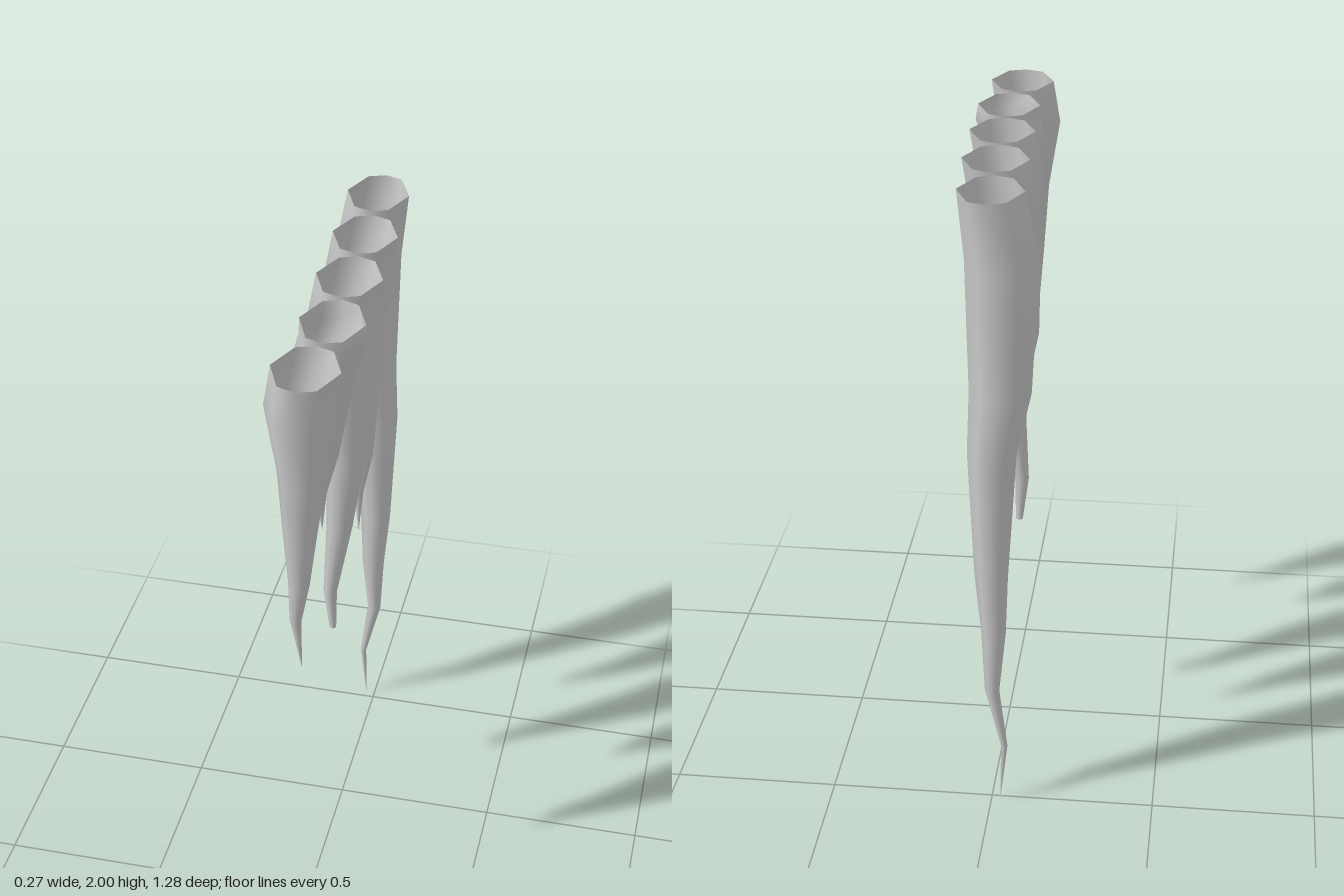
import * as THREE from 'three';

// Eight-sided cross-section (unit half-width in x and z), narrower across x
const SECTION = [[1, 0], [0.55, 0.84], [0, 1], [-0.55, 0.84], [-1, 0], [-0.55, -0.84], [0, -1], [0.55, -0.84]];
const TOP = 2, HALF_X = 0.1, HALF_Z = 0.121;

// Each icicle: z position, height of the tip, blunt tip half-width, and rings [y, centre x, optional x half-width]
const ICICLES = [
  { z: 0.518, tip: 0.965, blunt: 0, rings: [[2, 0.017, 0.098], [1.87, -0.003, 0.1], [1.66, 0.002], [1.44, -0.006], [1.28, -0.01], [1.14, -0.022], [0.965, -0.005]] },
  { z: 0.26, tip: 1.285, blunt: 0, rings: [[2, 0.031, 0.095], [1.95, 0.034, 0.1], [1.86, 0.005, 0.095], [1.71, 0.012], [1.56, 0.008], [1.42, -0.008], [1.285, -0.002]] },
  { z: 0.006, tip: 0.715, blunt: 0.011, rings: [[2, 0.022, 0.098], [1.86, -0.003, 0.1], [1.6, 0.008], [1.38, 0.012], [1.12, -0.008], [0.86, -0.038], [0.715, -0.03]] },
  { z: -0.25, tip: 0.915, blunt: 0, rings: [[2, 0.012, 0.098], [1.87, -0.01, 0.1], [1.65, -0.002], [1.45, 0.008], [1.22, 0.012], [1.08, -0.003], [0.915, -0.003]] },
  { z: -0.516, tip: 0, blunt: 0, rings: [[2, -0.005, 0.095], [1.8, -0.035, 0.105], [1.4, -0.03, 0.09], [1.2, -0.005, 0.072], [0.8, -0.002, 0.05], [0.6, -0.008, 0.037], [0.4, -0.003, 0.022], [0.2, -0.04, 0.01], [0, -0.027]] },
];

// Open-topped tapering skin lofted through the wandering rings
function icicleGeometry({ z, tip, blunt, rings }) {
  const positions = [], indices = [], n = SECTION.length;
  rings.forEach(([y, cx, halfX]) => {
    const t = (y - tip) / (TOP - tip);
    const rx = halfX ?? THREE.MathUtils.lerp(blunt, HALF_X * 1.06, t);
    const rz = THREE.MathUtils.lerp(blunt, HALF_Z, t);
    for (const [sx, sz] of SECTION) positions.push(cx + sx * rx, y, z + sz * rz);
  });
  for (let i = 0; i < rings.length - 1; i++) {
    for (let j = 0; j < n; j++) {
      const a = i * n + j, b = i * n + (j + 1) % n;
      indices.push(a, b, a + n, b, b + n, a + n);
    }
  }
  // Flat end under a blunt tip, with its own corners so the edge stays sharp
  if (blunt > 0) {
    const start = positions.length / 3;
    positions.push(...positions.slice(-n * 3));
    for (let j = 1; j < n - 1; j++) indices.push(start, start + j, start + j + 1);
  }
  const geometry = new THREE.BufferGeometry();
  geometry.setAttribute('position', new THREE.Float32BufferAttribute(positions, 3));
  geometry.setIndex(indices);
  geometry.computeVertexNormals();
  return geometry;
}

export function createModel() {
  const group = new THREE.Group();
  group.name = 'icicles';
  const ice = new THREE.MeshStandardMaterial({ color: 0xcccccc, side: THREE.DoubleSide });
  ICICLES.forEach((spec, i) => {
    const mesh = new THREE.Mesh(icicleGeometry(spec), ice);
    mesh.name = `icicle${i + 1}`;
    group.add(mesh);
  });
  return group;
}
